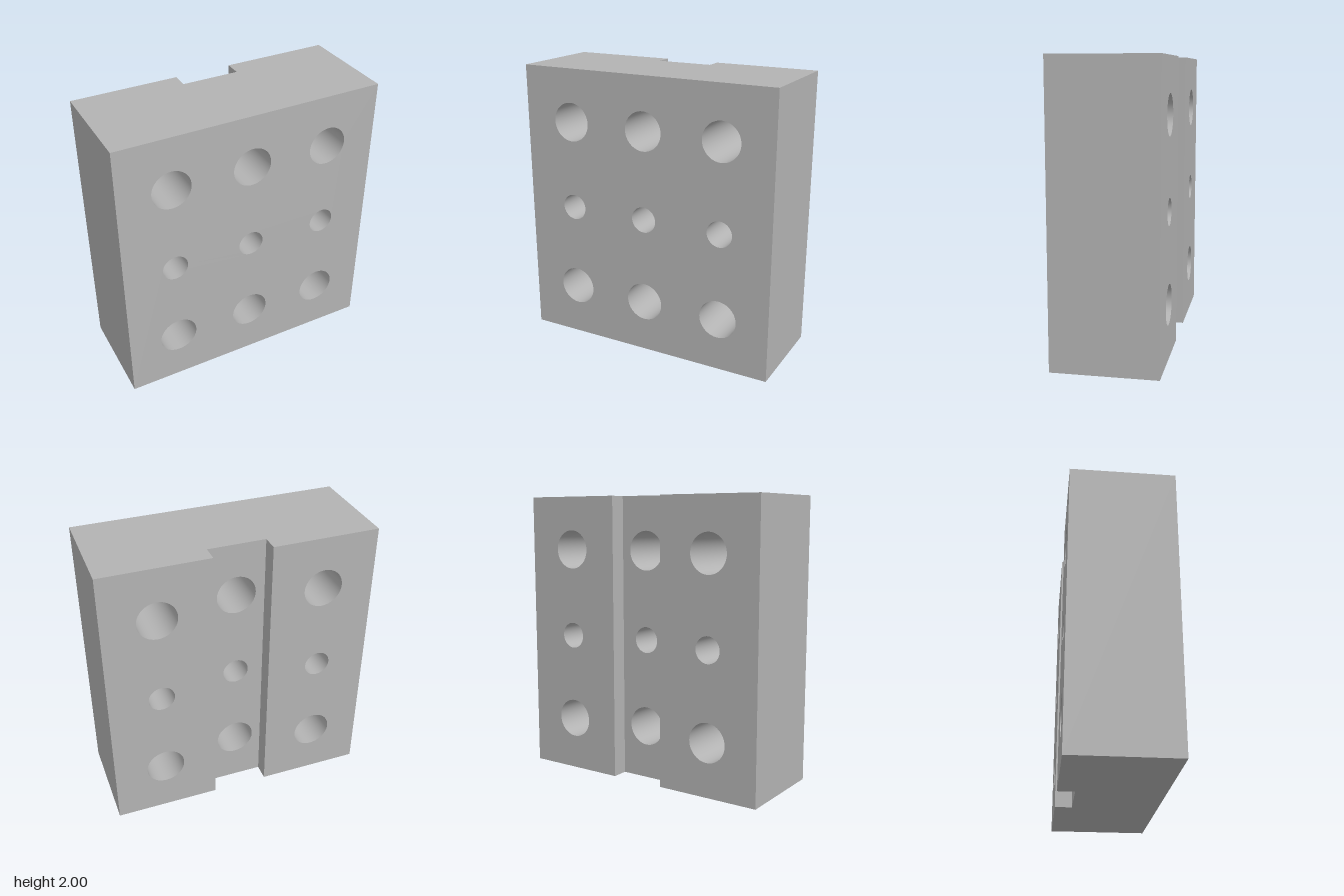
import * as THREE from 'three';

const W = 0.945, H = 2, D = 0.358;      // half width, height, half depth
const GW = 0.2, GZ = -0.24;             // groove half width and floor
const COLUMNS = [-0.575, 0, 0.575];
const ROWS = [[0.378, 0.137], [1, 0.092], [1.625, 0.137]]; // height, radius
const SEGMENTS = 64;

export function createModel() {
  const group = new THREE.Group();
  const steel = new THREE.MeshStandardMaterial({ color: 0xb3b3b3 });
  steel.name = 'grey steel';

  const add = (name, geometry) => {
    const mesh = new THREE.Mesh(geometry, steel);
    mesh.name = name;
    group.add(mesh);
    return mesh;
  };

  // Upright panel from x0 to x1, pierced by the bores of the given columns
  const panel = (x0, x1, columns) => {
    const shape = new THREE.Shape([[x0, 0], [x1, 0], [x1, H], [x0, H]].map(p => new THREE.Vector2(...p)));
    for (const x of columns) for (const [y, r] of ROWS) {
      shape.holes.push(new THREE.Path().absarc(x, y, r, 0, Math.PI * 2, true));
    }
    return new THREE.ShapeGeometry(shape, SEGMENTS / 2);
  };

  // Front and back faces; the middle of the back is the groove floor
  add('frontFace', panel(-W, W, COLUMNS).translate(0, 0, D));
  const back = (name, x0, x1, x, z) => add(name, panel(x0, x1, [x]).rotateY(Math.PI).translate(0, 0, z));
  back('backFaceLeft', GW, W, COLUMNS[2], -D);
  back('backFaceRight', -W, -GW, COLUMNS[0], -D);
  back('grooveFloor', -GW, GW, 0, GZ);

  // Outer sides and groove walls, facing along x
  const wall = (name, x, z0, z1, facing) =>
    add(name, new THREE.PlaneGeometry(z1 - z0, H).rotateY(facing * Math.PI / 2).translate(x, H / 2, (z0 + z1) / 2));
  for (const [side, s] of [['Left', 1], ['Right', -1]]) {
    wall('side' + side, s * W, -D, D, s);
    wall('grooveWall' + side, s * GW, -D, GZ, -s);
  }

  // Top and bottom follow the grooved plan
  const plan = sign => new THREE.ShapeGeometry(new THREE.Shape([
    [-W, D], [W, D], [W, -D], [GW, -D], [GW, GZ], [-GW, GZ], [-GW, -D], [-W, -D],
  ].map(([x, z]) => new THREE.Vector2(x, sign * z))));
  add('top', plan(-1).rotateX(-Math.PI / 2).translate(0, H, 0));
  add('bottom', plan(1).rotateX(Math.PI / 2));

  // Through bores: profile runs front to back so the walls face inward
  for (const x of COLUMNS) for (const [y, r] of ROWS) {
    const profile = [new THREE.Vector2(r, D), new THREE.Vector2(r, x === 0 ? GZ : -D)];
    add('bore', new THREE.LatheGeometry(profile, SEGMENTS).rotateX(Math.PI / 2).translate(x, y, 0));
  }
  return group;
}
